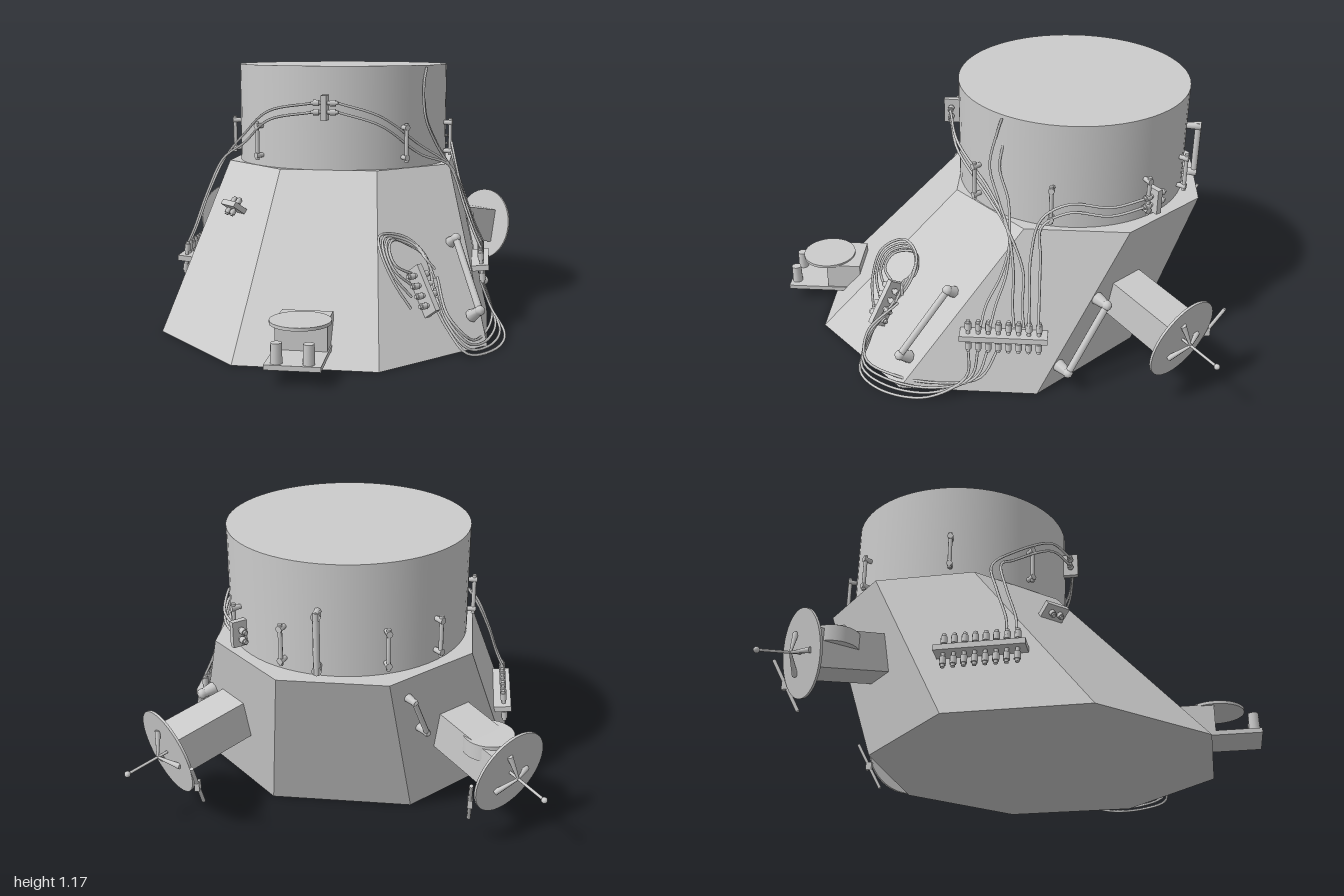
import * as THREE from 'three';

const V = (x, y, z) => new THREE.Vector3(x, y, z);
const smooth = new THREE.MeshStandardMaterial({ color: 0xcccccc });
const flat = new THREE.MeshStandardMaterial({ color: 0xcccccc, flatShading: true });

function add(parent, name, geometry, x = 0, y = 0, z = 0, material = flat) {
  const m = new THREE.Mesh(geometry, material);
  m.name = name;
  m.position.set(x, y, z);
  parent.add(m);
  return m;
}
const box = (p, name, w, h, d, x, y, z) => add(p, name, new THREE.BoxGeometry(w, h, d), x, y, z);

// Round bar between two points
function rod(parent, name, a, b, r0, r1 = r0, sides = 8) {
  const d = b.clone().sub(a);
  const c = a.clone().add(b).multiplyScalar(0.5);
  const m = add(parent, name, new THREE.CylinderGeometry(r1, r0, d.length(), sides), c.x, c.y, c.z, smooth);
  m.quaternion.setFromUnitVectors(V(0, 1, 0), d.normalize());
  return m;
}
function cable(parent, pts) {
  const curve = new THREE.CatmullRomCurve3(pts.map(p => V(...p)));
  add(parent, 'cable', new THREE.TubeGeometry(curve, 40, 0.006, 6), 0, 0, 0, smooth);
}
// Group whose local +z follows a surface normal
function mount(parent, name, pos, normal) {
  const g = new THREE.Group();
  g.name = name;
  g.position.copy(pos);
  g.lookAt(pos.clone().add(normal));
  parent.add(g);
  return g;
}
// Strip with a row of cable plugs across it
function connector(parent, name, pos, normal, n, gap, length, roll = 0) {
  const g = mount(parent, name, pos, normal);
  g.rotateZ(roll);
  box(g, 'connectorStrip', n * gap + 0.03, 0.025, 0.085, 0, 0, -0.01);
  for (let i = 0; i < n; i++) {
    const x = (i - (n - 1) / 2) * gap;
    rod(g, 'plug', V(x, -length / 2, 0), V(x, length / 2, 0), 0.009);
    for (const s of [-1, 1]) rod(g, 'plugCollar', V(x, s * length * 0.2, 0), V(x, s * length * 0.42, 0), 0.014);
  }
}
// Grab bar with two flared feet reaching back to the surface
function grabBar(parent, a, b, normal, r = 0.014) {
  const g = new THREE.Group();
  g.name = 'grabBar';
  parent.add(g);
  rod(g, 'bar', a, b, r);
  for (const p of [a, b]) {
    rod(g, 'foot', p.clone().addScaledVector(normal, -0.06), p.clone().addScaledVector(normal, 0.01), r * 1.8, r * 1.1);
    add(g, 'endKnob', new THREE.SphereGeometry(r * 1.4, 8, 6), p.x, p.y, p.z, smooth);
  }
}

export function createModel() {
  const root = new THREE.Group();
  root.name = 'module';

  // Leaning eight-sided base: a frustum sheared backwards
  const base = new THREE.CylinderGeometry(0.568, 0.774, 0.71, 8);
  base.rotateY(Math.PI / 8);
  const p = base.attributes.position;
  for (let i = 0; i < p.count; i++) p.setZ(i, p.getZ(i) + (p.getY(i) > 0 ? -0.365 : 0.075));
  base.computeVertexNormals();
  add(root, 'base', base, 0, 0.365, 0);

  // Upper drum
  const drumZ = -0.335;
  add(root, 'drum', new THREE.CylinderGeometry(0.5, 0.5, 0.46, 64), 0, 0.95, drumZ, smooth);

  // Handles round the drum, angles measured from the front
  for (const deg of [40, 81.5, 127, 157, 203, 229, 278.5, 320]) {
    const a = deg * Math.PI / 180, h = new THREE.Group();
    h.name = 'drumHandle';
    h.position.set(0, 0, drumZ);
    h.rotation.y = a;
    root.add(h);
    rod(h, 'bar', V(0, 0.75, 0.53), V(0, 0.925, 0.53), 0.009);
    for (const y of [0.77, 0.905]) rod(h, 'peg', V(0, y, 0.49), V(0, y, 0.54), 0.009, 0.014);
  }
  rod(root, 'rearHandle', V(0.06, 0.75, -0.88), V(0.06, 1.005, -0.88), 0.014);
  for (const y of [0.765, 0.99]) rod(root, 'rearHandlePeg', V(0.06, y, -0.81), V(0.06, y, -0.89), 0.012, 0.02);

  // Front equipment: tray, support, lid and two canisters
  const front = new THREE.Group();
  front.name = 'frontEquipment';
  root.add(front);
  box(front, 'tray', 0.22, 0.02, 0.32, -0.01, 0.08, 0.84);
  box(front, 'support', 0.21, 0.12, 0.16, -0.01, 0.15, 0.73);
  add(front, 'lid', new THREE.CylinderGeometry(0.123, 0.123, 0.013, 40), -0.01, 0.212, 0.815, smooth);
  for (const x of [-0.075, 0.05]) rod(front, 'canister', V(x, 0.09, 0.97), V(x, 0.17, 0.97), 0.024, 0.022, 12);

  // Side connector strips and rear dishes on both sides
  for (const s of [-1, 1]) {
    connector(root, 'sideConnector', V(s * 0.685, 0.285, -0.075), V(s, 0.1, 0), 8, 0.0425, 0.15);

    const out = V(s * 0.7, -0.18, -0.7).normalize();
    const dish = mount(root, 'dishAntenna', V(s * 0.69, 0.32, -0.81), out);
    box(dish, 'arm', 0.16, 0.17, 0.34, 0, 0, -0.17);
    add(dish, 'dish', new THREE.CylinderGeometry(0.185, 0.185, 0.01, 48), 0, 0, 0, smooth).rotation.x = Math.PI / 2;
    rod(dish, 'feedRod', V(0, 0, 0), V(0, 0, 0.19), 0.006);
    add(dish, 'feedTip', new THREE.SphereGeometry(0.013, 10, 8), 0, 0, 0.19, smooth);
    for (let k = 0; k < 3; k++) {
      const a = Math.PI / 2 + 0.3 + k * Math.PI * 2 / 3;
      rod(dish, 'feedStrut', V(0, 0, 0.05), V(Math.cos(a) * 0.1, Math.sin(a) * 0.1, 0.007), 0.005, 0.013);
    }
    rod(root, 'whipAntenna', V(s * 0.54, 0.13, -0.87), V(s * 0.54, 0.37, -1), 0.008);
    box(root, 'whipBlock', 0.02, 0.04, 0.03, s * 0.54, 0.25, -0.935);
  }
  // Round sensor resting on one arm
  rod(root, 'armSensor', V(-0.605, 0.36, -0.71), V(-0.605, 0.43, -0.71), 0.105, 0.105, 32);

  // Grab bars and small connectors on the sloped panels
  const frontNormal = V(0.58, 0.57, 0.58), rearNormal = V(0.7, -0.13, -0.7);
  grabBar(root, V(0.57, 0.43, 0.17), V(0.68, 0.16, 0.37), frontNormal, 0.016);
  grabBar(root, V(0.62, 0.42, -0.5), V(0.7, 0.12, -0.35), rearNormal, 0.016);
  grabBar(root, V(-0.31, 0.62, -0.83), V(-0.36, 0.44, -0.75), V(-0.7, -0.13, -0.7), 0.011);
  connector(root, 'panelConnector', V(0.45, 0.265, 0.465), frontNormal, 4, 0.045, 0.12, Math.PI / 2);
  connector(root, 'panelConnector', V(-0.43, 0.55, 0.18), V(-0.58, 0.57, 0.58), 2, 0.04, 0.09);

  // Cable junctions on the drum
  for (const [pos, n] of [[V(-0.01, 1, 0.2), V(0, 0, 1)], [V(0.4, 0.81, -0.68), V(0.76, 0, -0.65)]])
    connector(root, 'drumConnector', pos, n, 2, 0.04, 0.12, Math.PI / 2);

  for (const k of [0, 1]) {
    const d = k * 0.04;
    // From the front junction down both sides
    cable(root, [[-0.06, 1.02 - d, 0.2], [-0.27, 0.98 - d, 0.14], [-0.42, 0.86 - d, 0], [-0.53, 0.74, -0.07 + d],
      [-0.6, 0.58, -0.03 + d], [-0.65, 0.42, 0.02 + d], [-0.69, 0.33, 0.03 + d]]);
    cable(root, [[0.05, 1.02 - d, 0.2], [0.23, 0.96 - d, 0.15], [0.4, 0.82 - d, 0], [0.53, 0.72, -0.08],
      [0.6, 0.56, -0.11 - d], [0.65, 0.42, -0.11 - d], [0.69, 0.34, -0.12 - d]]);
    // From the drum rim down to the side strip
    cable(root, [[0.42, 1.17, -0.05 - d], [0.41, 1.1, -0.03 - d], [0.42, 0.95, 0 - d], [0.47, 0.82, -0.04 - d],
      [0.55, 0.68, -0.09], [0.6, 0.54, -0.06 - d / 2], [0.65, 0.42, 0 - d], [0.69, 0.34, 0.02 - d]]);
    // From the rear junction forward to the side strip
    cable(root, [[0.43, 0.83 - d, -0.65], [0.5, 0.82 - d, -0.5], [0.52, 0.84 - d, -0.33], [0.54, 0.78 - d, -0.22],
      [0.58, 0.62, -0.18 - d], [0.64, 0.45, -0.18 - d], [0.69, 0.34, -0.18 - d]]);
  }
  // Loops from the side strip round to the front panel connector
  for (let k = 0; k < 4; k++) {
    const d = k * 0.02;
    cable(root, [[0.68, 0.22, 0.074 - k * 0.0425], [0.73, 0.1, 0.08 - d], [0.79 - d, 0.03 + d / 2, 0.24 - d],
      [0.74 - d, 0.015 + d / 2, 0.45 - d], [0.63, 0.03 + d, 0.56 - d / 2], [0.55, 0.12 + d, 0.53],
      [0.5, 0.2 + k * 0.035, 0.5 - k * 0.035]]);
    cable(root, [[0.4, 0.2 + k * 0.04, 0.53 - k * 0.035], [0.33, 0.31 + d, 0.54 - d], [0.27 + d / 2, 0.43, 0.5 - d],
      [0.26 + d, 0.48 - d / 2, 0.4 - d], [0.36 + d, 0.46 - d, 0.33], [0.45, 0.38, 0.35 + d / 2],
      [0.49, 0.23 + k * 0.035, 0.47 - k * 0.03]]);
  }
  return root;
}
